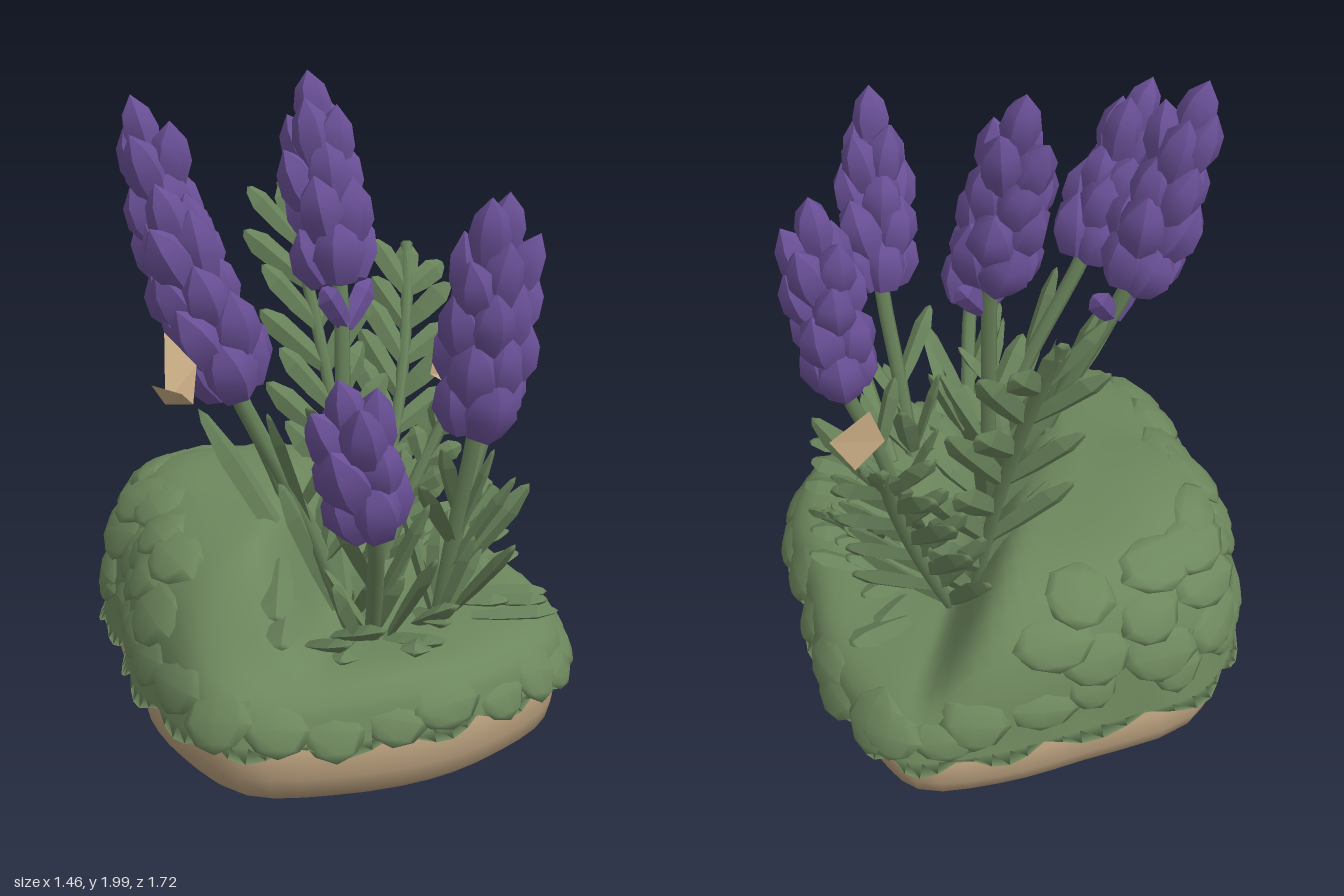
import * as THREE from 'three';
import { toCreasedNormals } from 'three/addons/utils/BufferGeometryUtils.js';

const V = (x, y, z) => new THREE.Vector3(x, y, z);
const Y = V(0, 1, 0);

function material(name, color, side = THREE.FrontSide) {
  const m = new THREE.MeshStandardMaterial({ color, side });
  m.name = name;
  return m;
}

let seed = 7;
const rnd = (a = 0, b = 1) => {
  seed = (seed * 16807) % 2147483647;
  return a + (b - a) * (seed / 2147483647);
};

// Footprint of the island, seen from above
const outline = new THREE.CatmullRomCurve3([
  [0.7, -0.3], [0.68, 0], [0.67, 0.3], [0.54, 0.56], [0.3, 0.71], [0.03, 0.79], [-0.3, 0.78], [-0.57, 0.69],
  [-0.68, 0.42], [-0.71, 0.15], [-0.67, -0.1], [-0.68, -0.35], [-0.58, -0.62], [-0.4, -0.78], [0, -0.81],
  [0.3, -0.81], [0.56, -0.75], [0.65, -0.58],
].map(([x, z]) => V(x, 0, z)), true);

// 0 on the low ground at the front right, 1 on the hill at the back left
function hill(x, z) {
  const slope = -0.857 * (x + 0.03) - 0.514 * (z - 0.03);
  return THREE.MathUtils.smoothstep(Math.min(slope, 0.55 - z), -0.09, 0.14);
}

function moundPoint(u, s) {
  const p = outline.getPoint(((u % 1) + 1) % 1).multiplyScalar(s), k = hill(p.x, p.z);
  const peak = 0.35 - 0.16 * ((p.x + 0.3) ** 2 + (p.z + 0.3) ** 2);
  const top = 0.36 + peak * k + 0.012 * Math.sin(9 * p.x + 2) * Math.cos(8 * p.z);
  p.y = 0.2 + (top - 0.2) * Math.sqrt(Math.max(0, 1 - s ** (14 - 6 * k)));
  return p;
}

function moundNormal(u, s) {
  const a = moundPoint(u, s - 0.03), b = moundPoint(u, Math.min(1, s + 0.03));
  const t = moundPoint(u + 0.01, s).sub(moundPoint(u - 0.01, s));
  return t.cross(b.sub(a)).normalize();
}

// Skin over closed rings, listed from the top centre outward and down
function loft(rows, n, point) {
  const pos = [], idx = [];
  for (const row of rows) for (let j = 0; j < n; j++) pos.push(...point(row, j / n).toArray());
  for (let i = 0; i < rows.length - 1; i++) for (let j = 0; j < n; j++) {
    const k = (j + 1) % n, a = i * n + j, d = i * n + k, b = a + n, c = d + n;
    idx.push(a, d, b, b, d, c);
  }
  const g = new THREE.BufferGeometry();
  g.setAttribute('position', new THREE.Float32BufferAttribute(pos, 3));
  g.setIndex(idx);
  g.computeVertexNormals();
  return g;
}

const lathe = (pts, n) => new THREE.LatheGeometry(pts.map(p => new THREE.Vector2(...p)), n);

export function createModel() {
  const model = new THREE.Group();
  const grass = material('grass green', 0x6d875d);
  const leaf = material('leaf green', 0x68825a);
  const purple = material('flower purple', 0x6a5097);
  const soil = material('soil tan', 0xb39a79);
  const wingTan = material('butterfly tan', 0xc9ac84, THREE.DoubleSide);

  const add = (name, geo, mat, parent = model) => {
    const m = new THREE.Mesh(geo, mat);
    m.name = name;
    parent.add(m);
    return m;
  };
  const group = (name) => {
    const g = new THREE.Group();
    g.name = name;
    model.add(g);
    return g;
  };

  // Soil slab
  add('soilBase', toCreasedNormals(loft(
    [[0, 0.26], [0.88, 0.25], [0.95, 0.18], [0.95, 0.1], [0.93, 0.045], [0.88, 0.012], [0.82, 0], [0, 0]], 54,
    ([s, y], u) => {
      const p = outline.getPoint(u);
      return V(p.x * s * 0.985, y, p.z * s * 1.06);
    }), 0.9), soil);

  // Grass mound with a scalloped lip hanging over the slab
  const rows = [0, 0.12, 0.24, 0.34, 0.44, 0.54, 0.63, 0.72, 0.8, 0.87, 0.92, 0.96, 0.985, 1, 'lip', 'under'];
  add('grassMound', loft(rows, 96, (s, u) => {
    const wave = Math.abs(Math.sin(u * Math.PI * 20));
    if (s === 'lip') return outline.getPoint(u).multiplyScalar(1 + 0.03 * wave).setY(0.21 - 0.045 * wave);
    if (s === 'under') return outline.getPoint(u).multiplyScalar(0.88).setY(0.22);
    return moundPoint(u, s);
  }), grass);

  // Broad overlapping tufts around the rim and over the hill
  const tufts = group('grassTufts');
  const tuftGeo = toCreasedNormals(lathe([[0, -1], [0.55, -0.75], [0.95, -0.15], [0.8, 0.5], [0, 1]], 8), 0.9);
  const tuft = (u, s, w, h, drop = 0) => {
    const t = add('grassTuft', tuftGeo, grass, tufts), n = moundNormal(u, s);
    t.position.copy(moundPoint(u, s)).addScaledVector(n, -0.012);
    t.position.y -= drop;
    n.y += 0.3;
    t.scale.set(w, h, 0.035);
    t.lookAt(t.position.clone().add(n));
    t.rotateZ(rnd(-0.3, 0.3));
  };
  for (let i = 0; i < 30; i++) {
    tuft((i + rnd(-0.3, 0.3)) / 30, 0.98, rnd(0.09, 0.14), rnd(0.08, 0.11), rnd(0.01, 0.04));
  }
  [0.82, 0.91, 0.96].forEach((s, r) => {
    for (let i = 0; i < 8; i++) {
      tuft(0.48 + (i + 0.5 * (r % 2) + rnd(-0.3, 0.3)) * 0.042, s + rnd(-0.03, 0.02), rnd(0.1, 0.16), rnd(0.08, 0.12));
    }
  });

  // Blunt leaf with a diamond section, laid between two points
  const leafGeo = toCreasedNormals(lathe([[0, 0], [0.55, 0], [0.9, 0.35], [1, 0.75], [0.45, 0.95], [0, 1]], 4), 0.4);
  function blade(parent, from, to, width, facing = V(0, 0, 1), mat = leaf, name = 'leaf') {
    const b = add(name, leafGeo, mat, parent), dir = to.clone().sub(from), len = dir.length();
    dir.normalize();
    const side = dir.clone().cross(facing).normalize(), face = side.clone().cross(dir);
    b.quaternion.setFromRotationMatrix(new THREE.Matrix4().makeBasis(side, dir, face));
    b.position.copy(from);
    b.scale.set(width, len, width * 0.5);
  }
  const stemTube = (parent, curve, r) => add('stem', new THREE.TubeGeometry(curve, 10, r, 6), leaf, parent);

  // Flower spikes: [stem foot, head bottom, head tip]
  const spikes = [
    [V(0.01, 0.34, 0.1), V(0.03, 1.33, -0.01), V(-0.03, 1.98, -0.14), true],
    [V(-0.06, 0.34, 0.1), V(-0.41, 1.24, -0.04), V(-0.6, 1.93, -0.1), true],
    [V(-0.07, 0.34, 0.36), V(-0.42, 1.11, 0.36), V(-0.65, 1.71, 0.39), false],
    [V(0.17, 0.34, 0.44), V(0.22, 0.99, 0.58), V(0.2, 1.67, 0.7), false],
    [V(0.28, 0.34, 0.24), V(0.46, 0.91, 0.17), V(0.53, 1.6, 0.15), false],
    [V(-0.04, 0.34, 0.45), V(-0.13, 0.77, 0.69), V(-0.28, 1.25, 0.79), false],
  ];
  const budGeo = toCreasedNormals(lathe([[0, 0], [0.06, 0.025], [0.086, 0.11], [0.066, 0.18], [0, 0.24]], 6), 0.6);
  spikes.forEach(([foot, low, tip, hasPetals]) => {
    const g = group('flowerSpike');
    const axis = tip.clone().sub(low), len = axis.length();
    axis.normalize();
    const mid = foot.clone().lerp(low, 0.5).add(V((foot.x - low.x) * 0.06, 0, 0));
    const stem = new THREE.CatmullRomCurve3([foot, mid, low, low.clone().addScaledVector(axis, 0.15)]);
    stemTube(g, stem, 0.026);

    // Flower head: tiers of buds leaning outward, narrow at the bottom and at the tip
    const head = new THREE.Group();
    head.name = 'flowerHead';
    head.position.copy(low);
    head.quaternion.setFromUnitVectors(Y, axis);
    g.add(head);
    const tiers = Math.round(len / 0.135), step = (len - 0.2) / (tiers - 1);
    for (let t = 0; t < tiers; t++) {
      const f = t / (tiers - 1), last = t === tiers - 1;
      const r = t === 0 ? 0.028 : last ? 0 : 0.048 - 0.028 * f, count = last ? 1 : 4, size = 1 - 0.3 * f;
      for (let i = 0; i < count; i++) {
        const a = (i / count) * Math.PI * 2 + t * 0.8 + rnd(-0.25, 0.25), lean = last ? 0 : rnd(0.15, 0.38);
        const b = add('bud', budGeo, purple, head);
        b.position.set(Math.cos(a) * r, t * step + (t ? rnd(-0.02, 0.02) : 0), Math.sin(a) * r);
        b.quaternion.setFromUnitVectors(Y, V(Math.cos(a) * lean, 1, Math.sin(a) * lean).normalize());
        b.rotateY(rnd(0, 1));
        b.scale.set(size, last ? 0.85 : rnd(0.85, 1), size);
      }
    }
    // Loose pair of petals below the head
    if (hasPetals) for (const s of [-1, 1]) {
      const p = low.clone().addScaledVector(axis, -0.13);
      blade(g, p, p.clone().add(V(s * 0.1, 0.14, -s * 0.05)), 0.04, V(0, 0, 1), purple, 'loosePetal');
    }
    // Leaves on the stem and around its foot
    for (let i = 0; i < 6; i++) {
      const p = stem.getPoint(i < 2 ? 0.2 + i * 0.1 : 0.02), a = i * 2.4 + rnd(0, 0.6);
      const out = rnd(0.08, 0.2), up = rnd(0.2, 0.38);
      blade(g, p, p.clone().add(V(Math.cos(a) * out, up, Math.sin(a) * out)), rnd(0.032, 0.042),
        V(-Math.cos(a), 0.2, -Math.sin(a)));
    }
  });

  // Tall side leaves between the spikes
  const sideLeaves = group('sideLeaves');
  [[-0.12, 0.4, 0.2, -0.48, 1.02, 0.15], [0, 0.38, 0.5, 0.02, 0.7, 0.78], [-0.1, 0.38, 0.5, -0.28, 0.65, 0.76],
    [0.25, 0.38, 0.4, 0.3, 0.68, 0.7], [-0.1, 0.4, 0.3, -0.32, 0.85, 0.42], [0.3, 0.38, 0.2, 0.55, 0.72, 0.3]]
    .forEach(([a, b, c, d, e, f]) => blade(sideLeaves, V(a, b, c), V(d, e, f), 0.042, V(0.3, 0.5, 0.8)));

  // Low leaves lying on the front and right ground
  const groundLeaves = group('groundLeaves');
  for (let i = 0; i < 22; i++) {
    const u = 0.95 + i * 0.021, s = rnd(0.5, 0.72);
    const p = moundPoint(u, s), q = moundPoint(u + rnd(-0.03, 0.03), s + rnd(0.2, 0.3));
    p.y += 0.01;
    q.y = Math.max(q.y, 0.35) + rnd(0.03, 0.13);
    blade(groundLeaves, p, q, rnd(0.04, 0.05), Y);
  }

  // Ferns: curved stem with pairs of long leaves, turned alternately to give depth
  function fern(foot, bend, tip, pairs, leafLen, width, across, turn) {
    const g = group('fern'), curve = new THREE.QuadraticBezierCurve3(foot, bend, tip);
    stemTube(g, curve, 0.022);
    for (let i = 0; i < pairs; i++) {
      const t = 0.05 + 0.79 * i / (pairs - 1), p = curve.getPoint(t), dir = curve.getTangent(t);
      const out = across.clone().applyAxisAngle(dir, i % 2 ? turn : -turn), face = out.clone().cross(dir);
      for (const s of [-1, 1]) {
        const l = leafLen * (1 - 0.42 * t) * rnd(0.92, 1.08);
        const q = p.clone().addScaledVector(out, s * l * 0.64).addScaledVector(dir, l * 0.76);
        blade(g, p, q, width, face);
      }
    }
    blade(g, curve.getPoint(0.84), tip, width, across.clone().cross(curve.getTangent(1)));
  }
  fern(V(0.2, 0.34, -0.33), V(0.17, 0.95, -0.45), V(0.08, 1.58, -0.73), 8, 0.38, 0.044, V(0.97, 0, -0.1).normalize(), 0.25);
  fern(V(0.26, 0.34, -0.33), V(0.47, 0.82, -0.46), V(0.58, 1.33, -0.78), 8, 0.34, 0.044, V(0.85, -0.2, 0.5).normalize(), 0.25);
  fern(V(0.24, 0.34, -0.15), V(0.34, 0.6, -0.17), V(0.5, 0.86, -0.18), 5, 0.19, 0.034, V(0.6, -0.3, 0.7).normalize(), 0.3);
  fern(V(0.36, 0.34, 0), V(0.45, 0.45, 0), V(0.6, 0.6, -0.04), 4, 0.16, 0.034, V(0.3, -0.2, 0.9).normalize(), 0.3);

  // Butterflies: two wings sharing the hinge a-b, each given by its two outer corners
  function butterfly(a, b, wings) {
    const pos = [];
    for (const [c, d] of wings) for (const p of [a, b, c, a, c, d]) pos.push(...p);
    const g = new THREE.BufferGeometry();
    g.setAttribute('position', new THREE.Float32BufferAttribute(pos, 3));
    g.computeVertexNormals();
    add('butterfly', g, wingTan);
  }
  butterfly([0.43, 0.97, -0.21], [0.54, 0.94, -0.28], [
    [[0.62, 1.1, -0.33], [0.48, 1.12, -0.25]], [[0.53, 0.92, -0.15], [0.46, 0.95, -0.13]]]);
  butterfly([-0.68, 1.15, 0.56], [-0.59, 1.13, 0.51], [
    [[-0.57, 1.23, 0.48], [-0.66, 1.33, 0.49]], [[-0.66, 1.2, 0.66], [-0.73, 1.22, 0.62]]]);

  return model;
}
